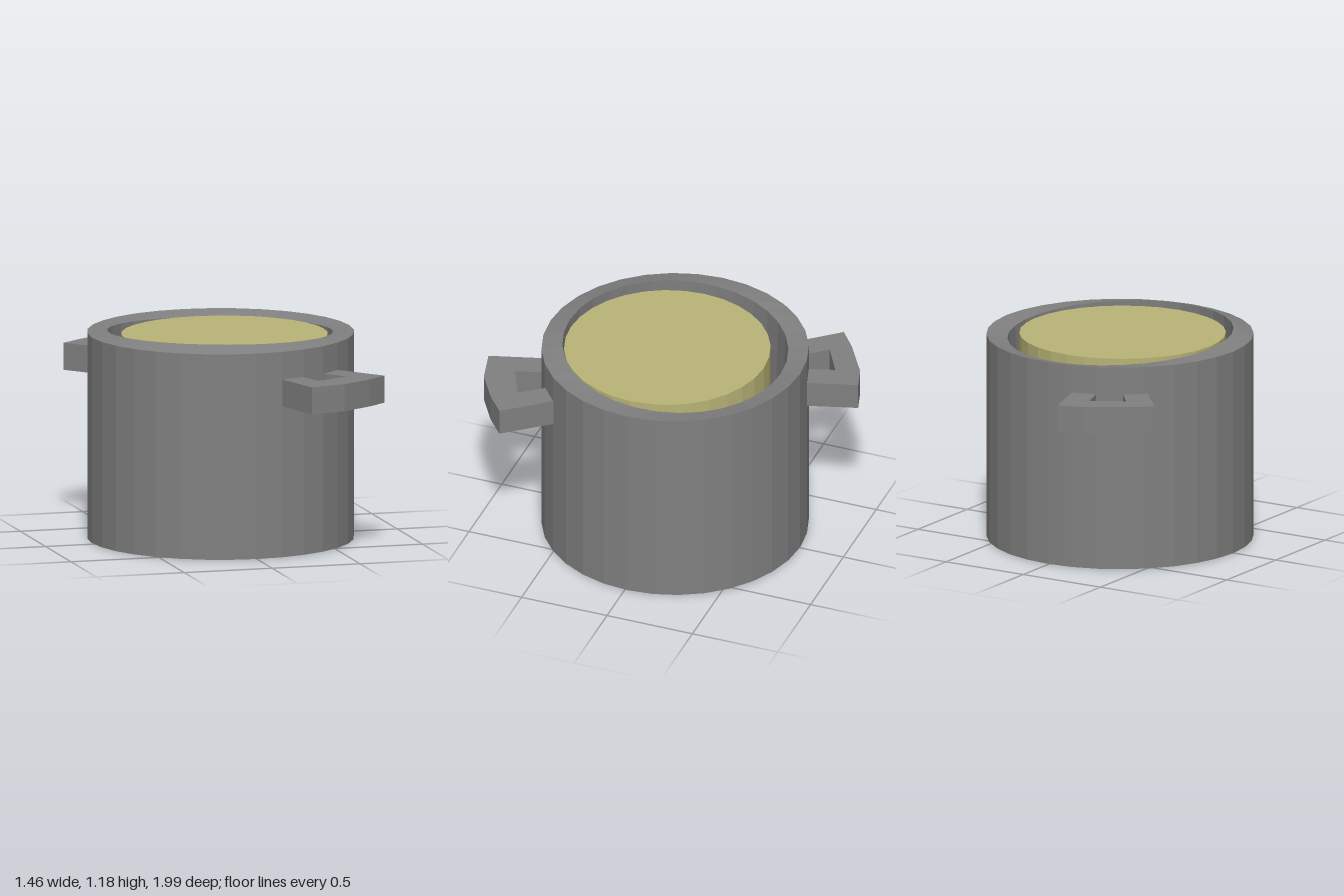
import * as THREE from 'three';

const SIDES = 32;
const CZ = -0.015; // pot axis sits slightly behind the centre

// Faceted surface through successive rings { x, z, y, r, sx, sz }, where sx and sz tilt the ring
function loft(rings) {
  const pos = [];
  const at = (g, i) => {
    const t = (i / SIDES) * Math.PI * 2;
    const dx = g.r * Math.sin(t), dz = g.r * Math.cos(t);
    return [g.x + dx, g.y + dx * (g.sx || 0) + dz * (g.sz || 0), g.z + dz];
  };
  for (let k = 0; k < rings.length - 1; k++) {
    const lo = rings[k], hi = rings[k + 1];
    for (let i = 0; i < SIDES; i++) {
      const a = at(lo, i), b = at(lo, i + 1), c = at(hi, i + 1), d = at(hi, i);
      if (lo.r > 0) pos.push(...a, ...b, ...c);
      else pos.push(...a, ...c, ...d);
      if (lo.r > 0 && hi.r > 0) pos.push(...a, ...c, ...d);
    }
  }
  const geo = new THREE.BufferGeometry();
  geo.setAttribute('position', new THREE.Float32BufferAttribute(pos, 3));
  geo.computeVertexNormals();
  return geo;
}

// Bracket handle: a U outline in plan [x, z], extruded in height
function handleGeometry(points) {
  const shape = new THREE.Shape(points.map(([x, z]) => new THREE.Vector2(x, z)));
  const geo = new THREE.ExtrudeGeometry(shape, { depth: 0.15, bevelEnabled: false });
  geo.rotateX(Math.PI / 2);
  geo.translate(0, 0.99, 0);
  return geo;
}

export function createModel() {
  const group = new THREE.Group();
  const metal = new THREE.MeshStandardMaterial({ color: 0x808080, flatShading: true });
  const filling = new THREE.MeshStandardMaterial({ color: 0xb8b476, flatShading: true });
  const add = (name, geo, mat) => {
    const mesh = new THREE.Mesh(geo, mat);
    mesh.name = name;
    group.add(mesh);
    return mesh;
  };

  // Pot wall with a slightly tilted bore
  const tilt = { sx: -0.021, sz: 0.047 };
  add('pot', loft([
    { x: 0, z: CZ, y: 0.003, r: 0 },
    { x: 0, z: CZ, y: 0.003, r: 0.731 },
    { x: 0, z: CZ, y: 1.143, r: 0.731 },
    { x: -0.003, z: CZ, y: 1.146, r: 0.618, ...tilt },
    { x: -0.017, z: CZ + 0.03, y: 0.5, r: 0.618, ...tilt },
    { x: -0.017, z: CZ + 0.03, y: 0.5, r: 0 },
  ]), metal);

  // Contents, visible at the top and flush with the base
  const contents = add('contents', new THREE.CylinderGeometry(0.565, 0.565, 1.138, SIDES), filling);
  contents.position.set(0.01, 0.569, 0.027);

  // Two side handles, nearly opposite each other
  add('frontHandle', handleGeometry([
    [0.135, 0.67], [0.23, 0.99], [0.43, 0.94], [0.6, 0.835], [0.715, 0.74],
    [0.5, 0.475], [0.39, 0.555], [0.51, 0.71], [0.32, 0.8], [0.265, 0.625],
  ]), metal);
  add('backHandle', handleGeometry([
    [-0.135, -0.7], [-0.225, -1], [-0.36, -0.96], [-0.57, -0.83], [-0.685, -0.74],
    [-0.49, -0.51], [-0.38, -0.59], [-0.495, -0.73], [-0.32, -0.83], [-0.265, -0.655],
  ]), metal);

  return group;
}
